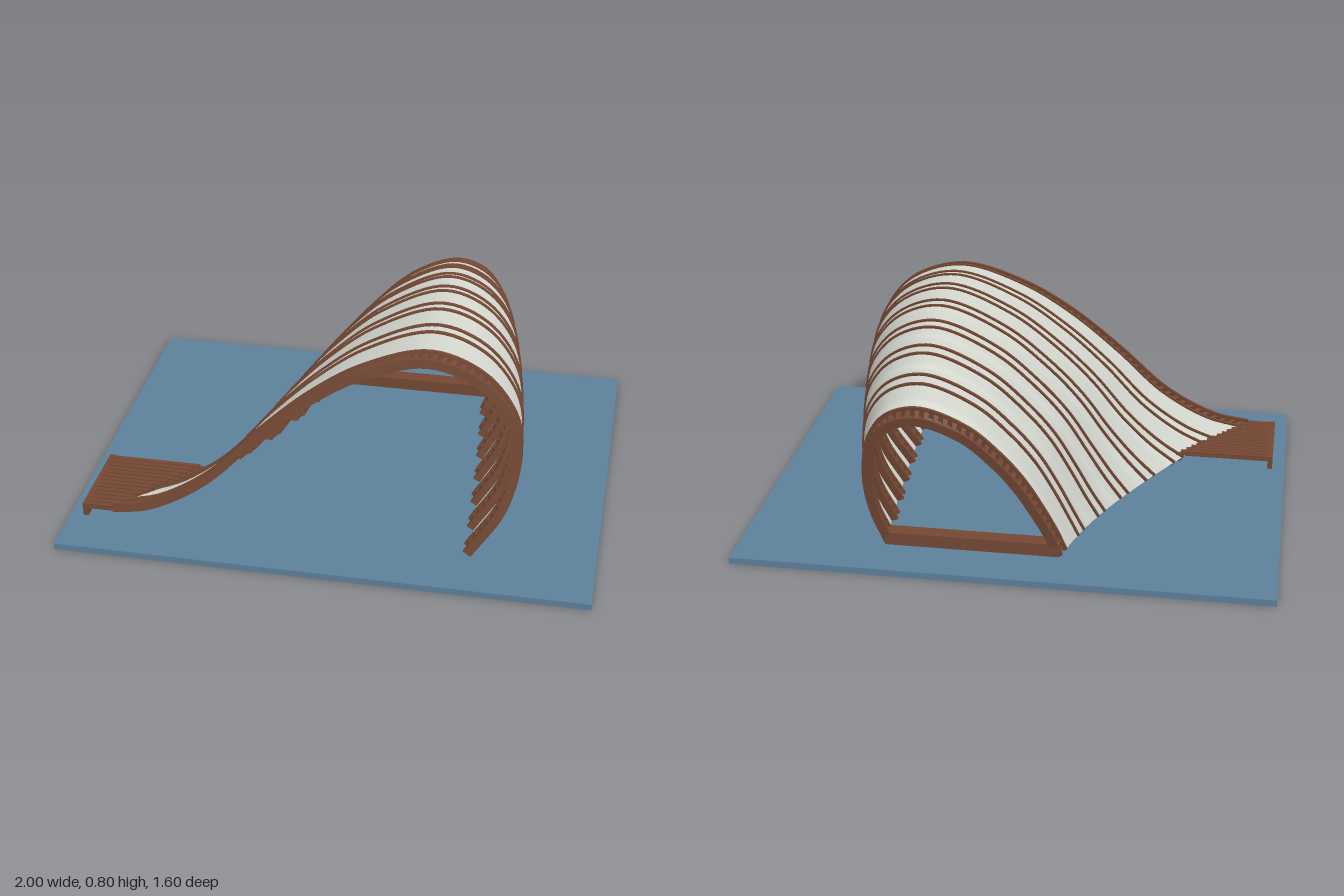
import * as THREE from 'three';
import { mergeGeometries, toCreasedNormals } from 'three/addons/utils/BufferGeometryUtils.js';
import { ParametricGeometry } from 'three/addons/geometries/ParametricGeometry.js';

const LEAN = 0.185, SLAB_TOP = 0.025;

// Arch profiles (x, y) at the front, middle and back, running right to left of the model
const FRONT = [[-.84, .085], [-.70, .11], [-.5, .22], [-.3, .41], [-.1, .58], [.1, .70],
  [.35, .77], [.56, .70], [.68, .56], [.705, .44], [.66, .22], [.54, .03]];
const MIDDLE = [[-.43, .03], [-.36, .12], [-.28, .24], [-.18, .40], [-.06, .54], [.10, .68],
  [.33, .78], [.49, .73], [.60, .60], [.635, .42], [.60, .2], [.51, .03]];
const BACK = [[-.21, .03], [-.18, .11], [-.13, .21], [-.06, .33], [.02, .43], [.13, .53],
  [.30, .593], [.42, .56], [.49, .47], [.52, .33], [.505, .17], [.46, .03]];

// Arch curve for a base position zb, blended quadratically between the three profiles
const curves = new Map();
function archCurve(zb) {
  const key = zb.toFixed(4);
  if (!curves.has(key)) {
    const s = (0.6 - zb) / 1.2;
    const a = 2 * (s - 0.5) * (s - 1), b = 4 * s * (1 - s), c = 2 * s * (s - 0.5);
    const mix = (i, k) => a * FRONT[i][k] + b * MIDDLE[i][k] + c * BACK[i][k];
    curves.set(key, new THREE.CatmullRomCurve3(
      FRONT.map((_, i) => new THREE.Vector3(mix(i, 0), Math.max(mix(i, 1), 0.028), 0))));
  }
  return curves.get(key);
}

// Point on a leaning arch, moved outward by d and along z by dz
function archPoint(zb, u, d = 0, dz = 0) {
  const curve = archCurve(zb);
  const p = curve.getPointAt(u), t = curve.getTangentAt(u);
  const y = p.y + t.x * d;
  return new THREE.Vector3(p.x - t.y * d, y, zb - LEAN * (y - 0.03) + dz);
}

// Solid through a row of four-cornered rings, capped at both ends
function loft(rings) {
  const pos = [];
  const tri = (...pts) => pts.forEach(p => pos.push(p.x, p.y, p.z));
  for (let i = 0; i < rings.length - 1; i++) {
    for (let j = 0; j < 4; j++) {
      const k = (j + 1) % 4, r = rings[i], n = rings[i + 1];
      tri(r[j], r[k], n[k]);
      tri(r[j], n[k], n[j]);
    }
  }
  const s = rings[0], e = rings[rings.length - 1];
  tri(s[0], s[3], s[2]); tri(s[0], s[2], s[1]);
  tri(e[0], e[1], e[2]); tri(e[0], e[2], e[3]);
  const g = new THREE.BufferGeometry();
  g.setAttribute('position', new THREE.Float32BufferAttribute(pos, 3));
  g.computeVertexNormals();
  return g;
}

function ribGeometry(zb) {
  const rings = [], w = 0.0065, depth = -0.034, n = 72;
  for (let i = 0; i <= n; i++) {
    const u = i / n;
    rings.push([archPoint(zb, u, 0, -w), archPoint(zb, u, 0, w),
      archPoint(zb, u, depth, w), archPoint(zb, u, depth, -w)]);
  }
  return toCreasedNormals(loft(rings), 0.5);
}

// Small blocks joining the two ribs of a pair
function spacerGeometry(za, zc) {
  const blocks = [], length = archCurve(za).getLength();
  const n = Math.round(length / 0.037), half = 0.009 / length;
  for (let i = 0; i < n; i++) {
    const u = (i + 0.5) / n;
    const ring = z => [archPoint(z, u - half, -0.009), archPoint(z, u + half, -0.009),
      archPoint(z, u + half, -0.03), archPoint(z, u - half, -0.03)];
    blocks.push(loft([ring(za), ring(zc)]));
  }
  return mergeGeometries(blocks);
}

export function createModel() {
  const model = new THREE.Group();
  const material = (name, color, side = THREE.FrontSide) =>
    Object.assign(new THREE.MeshStandardMaterial({ color, side }), { name });
  const wood = material('brown wood', 0x744834);
  const fabric = material('pale membrane', 0xd3d7ce, THREE.DoubleSide);
  const ground = material('blue ground', 0x5d809a);

  const add = (parent, name, geometry, mat) => {
    const mesh = new THREE.Mesh(geometry, mat);
    mesh.name = name;
    parent.add(mesh);
    return mesh;
  };
  // Box given by its lower and upper limits
  const box = (parent, name, mat, x0, x1, y0, y1, z0, z1) =>
    add(parent, name, new THREE.BoxGeometry(x1 - x0, y1 - y0, z1 - z0), mat)
      .position.set((x0 + x1) / 2, (y0 + y1) / 2, (z0 + z1) / 2);

  box(model, 'groundSlab', ground, -1, 1, 0, SLAB_TOP, -0.8, 0.8);

  // Eight leaning arches, each a pair of ribs with spacers
  for (let i = 0; i < 8; i++) {
    const mid = 0.573 - i * 1.146 / 7, za = mid + 0.024, zc = mid - 0.024;
    const arch = new THREE.Group();
    arch.name = 'arch' + (i + 1);
    add(arch, 'frontRib', ribGeometry(za), wood);
    add(arch, 'backRib', ribGeometry(zc), wood);
    add(arch, 'spacers', spacerGeometry(za, zc), wood);
    model.add(arch);
  }

  // Membrane from the inner rib of the first arch to the inner rib of the last
  add(model, 'membrane', new ParametricGeometry((u, v, target) =>
    target.copy(archPoint(0.549 - v * 1.098, THREE.MathUtils.clamp(u, 0, 1), -0.006)), 72, 42), fabric);

  // Side deck with a slanted edge along the shell
  const deck = new THREE.Group();
  deck.name = 'sideDeck';
  const edge = z => -0.56 - (z - 0.25) * 0.77;
  const outline = new THREE.Shape([[-0.95, -0.6], [edge(0.6), -0.6], [edge(0.25), -0.25], [-0.95, -0.25]]
    .map(p => new THREE.Vector2(...p)));
  const board = new THREE.ExtrudeGeometry(outline, { depth: 0.008, bevelEnabled: false });
  board.rotateX(-Math.PI / 2).translate(0, 0.058, 0);
  add(deck, 'deckBoard', board, wood);
  const slats = 14, pitch = 0.35 / slats;
  for (let i = 0; i < slats; i++) {
    const z = 0.25 + i * pitch;
    box(deck, 'deckSlat', wood, -0.93, edge(z + pitch), 0.066, 0.076, z + 0.003, z + pitch - 0.003);
  }
  box(deck, 'deckEndBoard', wood, -0.95, -0.93, SLAB_TOP, 0.077, 0.25, 0.6);
  model.add(deck);

  // Low sill closing the back opening
  box(model, 'backSill', wood, -0.2, 0.455, SLAB_TOP, 0.075, -0.61, -0.55);

  return model;
}
